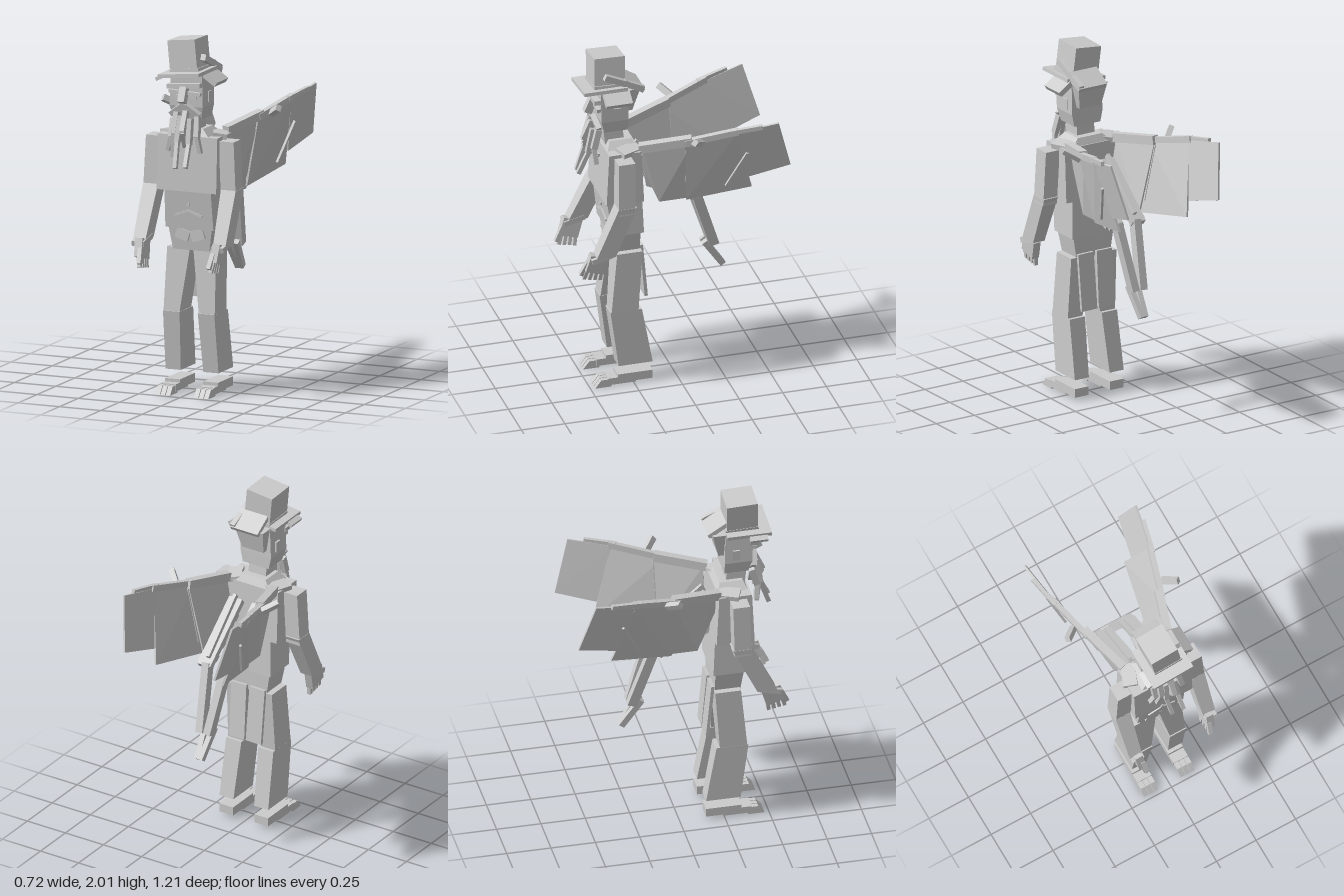
import * as THREE from 'three';
import { ConvexGeometry } from 'three/addons/geometries/ConvexGeometry.js';

export function createModel() {
  const root = new THREE.Group();
  const grey = new THREE.MeshStandardMaterial({ color: 0xcccccc });
  grey.name = 'plainGrey';
  const V = (p) => new THREE.Vector3(...p);

  const add = (name, geo) => {
    const m = new THREE.Mesh(geo, grey);
    m.name = name;
    root.add(m);
    return m;
  };
  // box by size, centre and rotation
  const box = (name, [w, h, d], pos, rot = [0, 0, 0]) => {
    const m = add(name, new THREE.BoxGeometry(w, h, d));
    m.position.set(...pos);
    m.rotation.set(...rot);
    return m;
  };
  // box running from a to b, width w near the x axis, depth d
  const bar = (name, a, b, w, d) => {
    const A = V(a), B = V(b), y = B.clone().sub(A);
    const len = y.length();
    y.normalize();
    const x = new THREE.Vector3(1, 0, 0).addScaledVector(y, -y.x).normalize();
    const z = x.clone().cross(y);
    const m = add(name, new THREE.BoxGeometry(w, len, d));
    m.quaternion.setFromRotationMatrix(new THREE.Matrix4().makeBasis(x, y, z));
    m.position.copy(A).add(B).multiplyScalar(0.5);
    return m;
  };
  // tapered block between two rectangles [y, x0, x1, z0, z1]
  const block = (name, ...rects) => {
    const pts = [];
    for (const [y, x0, x1, z0, z1] of rects)
      for (const x of [x0, x1]) for (const z of [z0, z1]) pts.push(V([x, y, z]));
    return add(name, new ConvexGeometry(pts));
  };
  // thin convex plate
  const plate = (name, corners, t = 0.006) => {
    const p = corners.map(V);
    const n = p[1].clone().sub(p[0]).cross(p[2].clone().sub(p[0])).normalize().multiplyScalar(t);
    return add(name, new ConvexGeometry(p.flatMap((q) => [q.clone().add(n), q.clone().sub(n)])));
  };

  // torso
  block('pelvis', [0.8, -0.11, 0.11, 0.205, 0.35], [0.925, -0.13, 0.13, 0.205, 0.365]);
  block('abdomen', [0.925, -0.145, 0.145, 0.19, 0.375], [1.145, -0.14, 0.14, 0.2, 0.4]);
  block('chest', [1.14, -0.18, 0.18, 0.2, 0.415], [1.45, -0.18, 0.18, 0.215, 0.4]);
  block('collar', [1.45, -0.12, 0.12, 0.22, 0.39], [1.49, -0.08, 0.08, 0.24, 0.37]);
  block('neck', [1.45, -0.06, 0.06, 0.275, 0.385], [1.57, -0.055, 0.055, 0.29, 0.4]);
  box('navel', [0.015, 0.015, 0.01], [0, 1.065, 0.394]);
  for (const s of [-1, 1]) {
    box('bellyFold', [0.09, 0.012, 0.01], [s * 0.04, 1.015, 0.388], [0, 0, -s * 0.35]);
    box('buckleFlap', [0.08, 0.06, 0.012], [s * 0.045, 0.89, 0.365], [0, 0, s * 0.3]);
  }
  box('chestButton', [0.02, 0.02, 0.012], [0, 1.37, 0.408]);

  // head
  block('head', [1.55, -0.085, 0.085, 0.265, 0.4], [1.62, -0.1, 0.1, 0.265, 0.42], [1.8, -0.09, 0.1, 0.27, 0.425]);
  block('backHair', [1.66, -0.07, 0.07, 0.235, 0.28], [1.8, -0.09, 0.1, 0.2, 0.3]);
  box('brow', [0.2, 0.025, 0.05], [0, 1.74, 0.435], [0, 0, 0.08]);
  box('lowerBrow', [0.19, 0.018, 0.03], [0, 1.7, 0.43], [0, 0, -0.05]);
  bar('nose', [0, 1.73, 0.44], [0, 1.65, 0.475], 0.04, 0.045);
  for (const s of [-1, 1]) {
    box('eye', [0.04, 0.02, 0.01], [s * 0.045, 1.675, 0.425]);
    bar('moustache', [s * 0.01, 1.63, 0.445], [s * 0.085, 1.575, 0.43], 0.03, 0.03);
    box('ear', [0.012, 0.06, 0.04], [s * 0.1, 1.67, 0.33]);
  }
  // beard strands: top, bend, tip
  const strands = [
    [[-0.075, 1.55, 0.42], [-0.075, 1.45, 0.45], [-0.1, 1.37, 0.44]],
    [[-0.045, 1.59, 0.44], [-0.05, 1.48, 0.47], [-0.065, 1.34, 0.45]],
    [[-0.015, 1.57, 0.45], [-0.025, 1.43, 0.48], [-0.015, 1.29, 0.53]],
    [[0.015, 1.6, 0.45], [0.015, 1.49, 0.5], [0.01, 1.4, 0.45]],
    [[0.04, 1.56, 0.45], [0.045, 1.42, 0.48], [0.05, 1.3, 0.54]],
    [[0.075, 1.57, 0.43], [0.085, 1.46, 0.46], [0.1, 1.37, 0.45]],
  ];
  for (const [a, b, c] of strands) {
    bar('beardStrand', a, b, 0.028, 0.035);
    bar('beardTip', b, c, 0.022, 0.025);
  }

  // hat, leaning slightly
  box('hatCrown', [0.165, 0.19, 0.175], [-0.006, 1.9, 0.367], [-0.03, 0, 0.11]);
  box('hatBand', [0.175, 0.02, 0.185], [0.005, 1.825, 0.367], [-0.03, 0, 0.11]);
  box('hatBrim', [0.25, 0.02, 0.25], [0, 1.81, 0.4], [0, 0, 0.1]);
  box('hatBrimRightFlap', [0.05, 0.02, 0.1], [-0.125, 1.785, 0.45], [0, 0, 0.45]);
  box('hatBrimLeftFlap', [0.09, 0.03, 0.15], [0.14, 1.78, 0.34], [0, 0, -0.6]);
  bar('hatSideSlat', [0.095, 1.9, 0.4], [0.095, 1.8, 0.18], 0.03, 0.035);
  bar('hatBackFlap', [0.02, 1.86, 0.29], [0.02, 1.79, 0.18], 0.18, 0.025);

  for (const s of [-1, 1]) {
    const X = (x, y, z) => [s * x, y, z];
    // legs, tails of the coat and feet
    block('thigh', [0.44, s * 0.06, s * 0.155, 0.225, 0.38], [0.81, s * 0.01, s * 0.148, 0.2, 0.345]);
    block('shin', [0.12, s * 0.068, s * 0.16, 0.145, 0.34], [0.455, s * 0.055, s * 0.155, 0.205, 0.385]);
    bar('coatTail', X(0.06, 0.83, 0.195), X(0.055, 0.505, 0.165), 0.1, 0.018);
    box('heel', [0.09, 0.05, 0.2], X(0.115, 0.043, 0.245));
    block('foot', [0.01, s * 0.07, s * 0.16, 0.24, 0.4], [0.05, s * 0.07, s * 0.16, 0.24, 0.4]);
    for (let i = 0; i < 3; i++)
      block('toe', [0, s * (0.071 + i * 0.031), s * (0.098 + i * 0.031), 0.38, 0.475],
        [0.045, s * (0.071 + i * 0.031), s * (0.098 + i * 0.031), 0.38, 0.44]);

    // arms and hands
    const reach = s > 0 ? -0.02 : 0;
    block('upperArm', [1.12, s * 0.19, s * 0.28, 0.28, 0.375], [1.43, s * 0.175, s * 0.265, 0.275, 0.37]);
    block('forearm', [0.87, s * 0.2, s * 0.275, 0.41 + reach, 0.52 + reach], [1.16, s * 0.19, s * 0.28, 0.27, 0.375]);
    box('cuff', [0.075, 0.03, 0.12], X(0.235, 0.865, 0.485 + reach), [0.25, 0, 0]);
    bar('hand', X(0.23, 0.87, 0.49 + reach), X(0.222, 0.77, 0.52 + reach), 0.045, 0.11);
    for (let i = 0; i < 4; i++)
      bar('finger', X(0.22, 0.79, 0.475 + i * 0.027 + reach), X(0.21, 0.71 + i * 0.006, 0.485 + i * 0.03 + reach), 0.022, 0.02);
    bar('thumb', X(0.215, 0.83, 0.55 + reach), X(0.205, 0.75, 0.59 + reach), 0.025, 0.025);
    box('shoulderPlate', [0.08, 0.03, 0.13], X(0.14, 1.45, 0.275), [0, s * 0.4, -s * 0.15]);

    // wing membranes, root to tip
    plate('innerMembrane', [X(0.23, 1.49, -0.06), X(0.13, 1.1, -0.06), X(0.15, 1.46, 0.2), X(0.13, 1.34, 0.2), X(0.13, 1.1, 0.1)]);
    plate('middleMembrane', [X(0.23, 1.48, -0.02), X(0.31, 1.545, -0.29), X(0.22, 1.165, -0.405), X(0.15, 1.1, -0.05)]);
    plate('outerMembrane', [X(0.31, 1.56, -0.28), X(0.355, 1.61, -0.52), X(0.295, 1.31, -0.605), X(0.25, 1.245, -0.375)]);
    // wing bones
    bar('wingArm', X(0.15, 1.46, 0.22), X(0.235, 1.51, -0.06), 0.045, 0.05);
    bar('wingForearm', X(0.235, 1.5, -0.02), X(0.315, 1.57, -0.3), 0.03, 0.035);
    bar('wingTipBone', X(0.31, 1.565, -0.25), X(0.35, 1.595, -0.43), 0.022, 0.025);
    bar('wingClaw', X(0.28, 1.51, -0.1), X(0.35, 1.555, -0.04), 0.03, 0.035);
    bar('wingFinger', X(0.235, 1.48, -0.06), X(0.165, 1.17, -0.06), 0.014, 0.014);
    bar('wingFinger', X(0.305, 1.42, -0.355), X(0.245, 1.2, -0.25), 0.014, 0.014);

    // lower folded limbs meeting at a point behind
    bar('foldedUpper', X(0.075, 1.35, 0.19), X(0.07, 1.08, -0.14), 0.085, 0.035);
    bar('foldedRidge', X(0.075, 1.38, 0.18), X(0.06, 1.13, -0.12), 0.02, 0.03);
    plate('foldedMembrane', [X(0.105, 1.36, 0.19), X(0.115, 1.1, -0.13), X(0.115, 1.07, -0.1), X(0.115, 1.2, 0.17)]);
    for (let i = 0; i < 4; i++)
      box('foldedRib', [0.07, 0.03, 0.04], X(0.075, 1.27 - i * 0.055, 0.135 - i * 0.065), [-0.7, 0, 0]);
    bar('foldedLower', X(0.06, 1.1, -0.125), X(0.025, 0.73, -0.245), 0.045, 0.055);
    bar('foldedTip', X(0.025, 0.75, -0.19), X(0.01, 0.59, -0.3), 0.03, 0.035);
  }
  return root;
}
